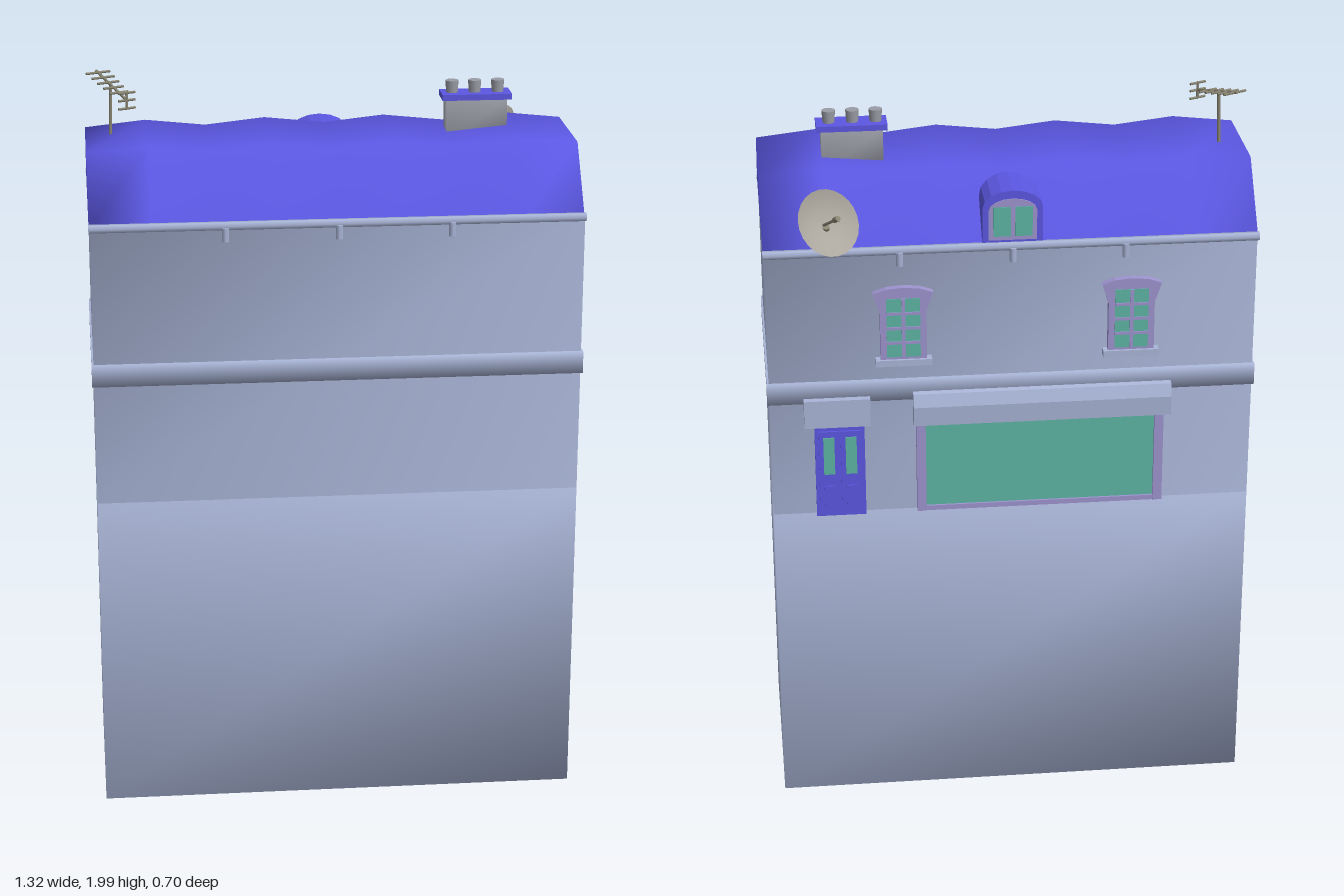
import * as THREE from 'three';
import { mergeVertices } from 'three/addons/utils/BufferGeometryUtils.js';

const mat = (name, color, side = THREE.FrontSide) => {
  const m = new THREE.MeshStandardMaterial({ color, side });
  m.name = name;
  return m;
};

export function createModel() {
  const wall = mat('pale stone', 0xaab6d8);
  const blue = mat('roof blue', 0x5b57e2);
  const glass = mat('green glass', 0x5cb4a4);
  const frame = mat('lavender frame', 0x9d94cf);
  const stack = mat('chimney grey', 0x9a9ca6);
  const metal = mat('antenna metal', 0x8a8674);
  const dishGrey = mat('dish grey', 0xaca79e, THREE.DoubleSide);

  const model = new THREE.Group();
  model.name = 'shopHouse';

  const add = (parent, name, geo, material, x = 0, y = 0, z = 0) => {
    const m = new THREE.Mesh(geo, material);
    m.name = name;
    m.position.set(x, y, z);
    parent.add(m);
    return m;
  };
  const box = (parent, name, material, w, h, d, x, y, z) =>
    add(parent, name, new THREE.BoxGeometry(w, h, d), material, x, y, z);

  // Box with shared corners, so shading rolls around its edges
  const softBox = (w, h, d, open = false) => {
    let g = new THREE.BoxGeometry(w, h, d);
    g.deleteAttribute('normal');
    g.deleteAttribute('uv');
    g.clearGroups();
    g = mergeVertices(g);
    if (open) g.setIndex(Array.from(g.index.array).filter((_, i) => i < 12 || i >= 24));
    g.computeVertexNormals();
    return g;
  };

  // Thin round bar between two points
  const bar = (parent, name, a, b, r, material) => {
    const p = new THREE.Vector3(...a), q = new THREE.Vector3(...b);
    const m = add(parent, name, new THREE.CylinderGeometry(r, r, p.distanceTo(q), 6), material);
    m.position.copy(p).lerp(q, 0.5);
    m.quaternion.setFromUnitVectors(new THREE.Vector3(0, 1, 0), q.sub(p).normalize());
    return m;
  };

  // Main masses
  add(model, 'foundation', softBox(1.31, 0.89, 0.59), wall, 0, 0.445, 0.04);
  add(model, 'upperWalls', softBox(1.31, 0.77, 0.59, true), wall, 0, 1.275, 0.04);
  add(model, 'stringCourse', softBox(1.32, 0.06, 0.61), wall, 0, 1.255, 0.04);

  // Roof: wavy flat-topped section swept along x, closed at both ends
  const N = 8, pos = [], idx = [];
  for (let i = 0; i <= N; i++) {
    const x = -0.657 + (1.314 * i) / N, k = i % 2;
    const section = [[0.314 + 0.013 * k, 1.655], [0.18 + 0.01 * k, 1.824 + 0.015 * k],
      [-0.108 - 0.01 * k, 1.824 + 0.015 * k], [-0.25 - 0.012 * k, 1.655]];
    for (const [z, y] of section) pos.push(x, y, z);
    if (i === N) break;
    for (let j = 0; j < 3; j++) {
      const a = i * 4 + j, b = a + 4;
      idx.push(a, b, b + 1, a, b + 1, a + 1);
    }
  }
  const e = N * 4;
  idx.push(0, 1, 2, 0, 2, 3, e, e + 2, e + 1, e, e + 3, e + 2);
  const roofGeo = new THREE.BufferGeometry();
  roofGeo.setAttribute('position', new THREE.Float32BufferAttribute(pos, 3));
  roofGeo.setIndex(idx);
  roofGeo.computeVertexNormals();
  add(model, 'roof', roofGeo, blue);

  // Eaves ledges, gutters and short outlets on both long sides
  box(model, 'eavesLedge', wall, 1.31, 0.01, 0.59, 0, 1.655, 0.04);
  for (const [z, s] of [[0.332, 1], [-0.262, -1]]) {
    bar(model, 'gutter', [-0.658, 1.658, z], [0.658, 1.658, z], 0.012, wall);
    for (const x of [-0.3, 0, 0.3])
      bar(model, 'gutterOutlet', [x, 1.617, z + 0.008 * s], [x, 1.655, z + 0.008 * s], 0.01, wall);
  }

  // Chimney with three pots
  const chimney = new THREE.Group();
  chimney.name = 'chimney';
  model.add(chimney);
  add(chimney, 'chimneyStack', softBox(0.165, 0.13, 0.064), stack, 0.405, 1.85, 0);
  box(chimney, 'chimneyCap', blue, 0.19, 0.016, 0.076, 0.405, 1.918, 0);
  for (const x of [0.34, 0.402, 0.465])
    add(chimney, 'chimneyPot', new THREE.CylinderGeometry(0.018, 0.016, 0.034, 12), stack, x, 1.942, 0);

  // Shop side: local +z points outward from the back wall, local x is mirrored
  const facade = new THREE.Group();
  facade.name = 'shopFacade';
  facade.position.z = -0.255;
  facade.rotation.y = Math.PI;
  model.add(facade);

  const extrude = (points, depth) =>
    new THREE.ExtrudeGeometry(new THREE.Shape(points.map(p => new THREE.Vector2(...p))),
      { depth, bevelEnabled: false });

  // Upper windows with splayed heads
  for (const x of [-0.293, 0.318]) {
    const w = new THREE.Group();
    w.name = 'upperWindow';
    w.position.set(x, 1.335, 0);
    facade.add(w);
    const outline = [[-0.062, 0], [0.062, 0], [0.062, 0.15], [0.08, 0.205], [0.045, 0.217],
      [0, 0.221], [-0.045, 0.217], [-0.08, 0.205], [-0.062, 0.15]];
    add(w, 'windowSurround', extrude(outline, 0.02), frame);
    box(w, 'windowGlass', glass, 0.09, 0.168, 0.004, 0, 0.106, 0.02);
    box(w, 'windowMullion', frame, 0.01, 0.168, 0.006, 0, 0.106, 0.022);
    for (let i = 1; i < 4; i++)
      box(w, 'windowGlazingBar', frame, 0.09, 0.008, 0.006, 0, 0.022 + 0.042 * i, 0.022);
    box(w, 'windowSill', wall, 0.15, 0.018, 0.028, 0, 0.006, 0.014);
  }

  // Shop window and its sign board
  box(facade, 'shopWindowGlass', glass, 0.64, 0.26, 0.008, 0.075, 1.02, 0.008);
  for (const x of [-0.25, 0.40])
    box(facade, 'shopWindowPost', frame, 0.025, 0.28, 0.02, x, 1.03, 0.01);
  box(facade, 'shopWindowSill', frame, 0.65, 0.014, 0.018, 0.075, 0.897, 0.009);
  const board = [[0, 1.155], [0.033, 1.155], [0.036, 1.21], [0.025, 1.245], [0, 1.25]];
  const sign = add(facade, 'shopSignBoard', extrude(board, 0.70), wall, 0.43, 0, 0);
  sign.rotation.y = -Math.PI / 2;
  sign.scale.z = 1;
  sign.geometry.rotateY(0);
  sign.position.x = 0.43;

  // Door with two tall panes and lower panels
  box(facade, 'doorFrame', blue, 0.135, 0.28, 0.012, -0.47, 1.025, 0.006);
  for (const s of [-1, 1]) {
    box(facade, 'doorLeaf', blue, 0.056, 0.25, 0.012, -0.47 + s * 0.03, 1.017, 0.012);
    box(facade, 'doorPane', glass, 0.03, 0.11, 0.004, -0.47 + s * 0.03, 1.07, 0.019);
    box(facade, 'doorPanel', blue, 0.03, 0.06, 0.006, -0.47 + s * 0.03, 0.95, 0.019);
  }
  box(facade, 'doorCanopy', wall, 0.178, 0.08, 0.03, -0.475, 1.2, 0.015);

  // Arched dormer
  const arch = (w, y0, y1, y2) => {
    const pts = [[-w, y0], [w, y0]];
    for (let i = 0; i <= 8; i++) {
      const a = (Math.PI * i) / 8;
      pts.push([w * Math.cos(a), y1 + (y2 - y1) * Math.sin(a)]);
    }
    return pts;
  };
  add(facade, 'dormer', extrude(arch(0.08, 1.66, 1.765, 1.812), 0.14), blue, 0, 0, -0.135);
  add(facade, 'dormerFrame', extrude(arch(0.064, 1.675, 1.758, 1.79), 0.004), frame, 0, 0, 0.004);
  for (const x of [-0.029, 0.029])
    box(facade, 'dormerPane', glass, 0.046, 0.082, 0.004, x, 1.727, 0.008);

  // Satellite dish: shallow bowl tilted up and outward
  const dish = new THREE.Group();
  dish.name = 'satelliteDish';
  dish.position.set(0.485, 1.75, -0.283);
  dish.quaternion.setFromUnitVectors(new THREE.Vector3(0, 1, 0),
    new THREE.Vector3(-0.4, 0.45, -0.65).normalize());
  model.add(dish);
  const bowl = [0, 0.03, 0.055, 0.075, 0.09].map(r => new THREE.Vector2(r, r * r * 3.5 - 0.025));
  add(dish, 'dishBowl', new THREE.LatheGeometry(bowl, 24), dishGrey);
  bar(dish, 'dishFeedArm', [0, -0.025, 0], [0, 0.045, 0], 0.004, metal);
  bar(dish, 'dishFeedHorn', [0, 0.035, 0], [0, 0.055, 0], 0.008, metal);
  bar(model, 'dishMount', [0.49, 1.735, -0.27], [0.49, 1.69, -0.24], 0.01, metal);

  // Television antenna: mast, sloping boom, cross rods and end reflector
  const aerial = new THREE.Group();
  aerial.name = 'antenna';
  model.add(aerial);
  bar(aerial, 'antennaMast', [-0.59, 1.81, 0], [-0.585, 1.968, 0], 0.005, metal);
  const tip = new THREE.Vector3(-0.622, 1.99, -0.065), tail = new THREE.Vector3(-0.545, 1.945, 0.1);
  bar(aerial, 'antennaBoom', tip.toArray(), tail.toArray(), 0.004, metal);
  const rod = (p, half, dy = 0) => bar(aerial, 'antennaRod',
    [p.x - 0.9 * half, p.y + dy, p.z + 0.43 * half],
    [p.x + 0.9 * half, p.y + dy, p.z - 0.43 * half], 0.0035, metal);
  for (let i = 0; i < 5; i++) rod(tip.clone().lerp(tail, 0.06 + 0.17 * i), 0.036 - 0.002 * i);
  for (const dy of [-0.022, 0, 0.02]) rod(tail, 0.025, dy);
  bar(aerial, 'antennaReflectorPost', [-0.545, 1.92, 0.1], [-0.545, 1.968, 0.1], 0.004, metal);

  return model;
}
